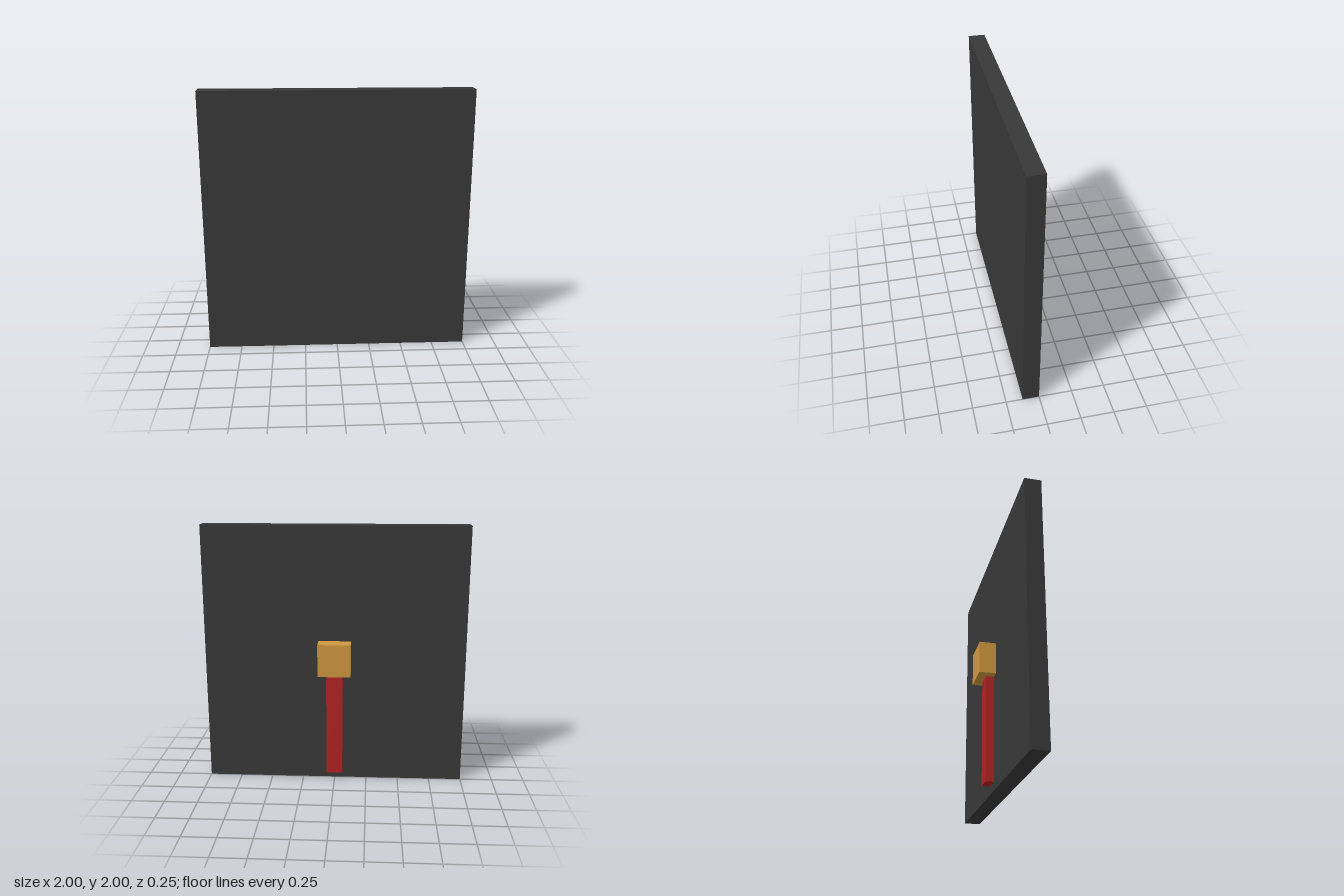
import * as THREE from 'three';

const material = (name, color) => {
  const m = new THREE.MeshStandardMaterial({ color });
  m.name = name;
  return m;
};

export function createModel() {
  const model = new THREE.Group();
  model.name = 'panelWithPull';

  // Box centred on x, given its bottom and its back-to-front extent
  const addBox = (name, width, bottom, top, zMin, zMax, mat) => {
    const mesh = new THREE.Mesh(new THREE.BoxGeometry(width, top - bottom, zMax - zMin), mat);
    mesh.name = name;
    mesh.position.set(0, (bottom + top) / 2, (zMin + zMax) / 2);
    model.add(mesh);
  };

  // Square panel facing forward
  addBox('panel', 2, 0, 2, 0, 0.125, material('charcoal', 0x383838));
  // Square block at the middle of the back
  addBox('block', 0.25, 0.875, 1.125, -0.125, 0, material('ochre', 0xce963e));
  // Strip hanging below the block
  addBox('strip', 0.125, 0.0625, 0.875, -0.0625, 0, material('red', 0xb22222));

  return model;
}
